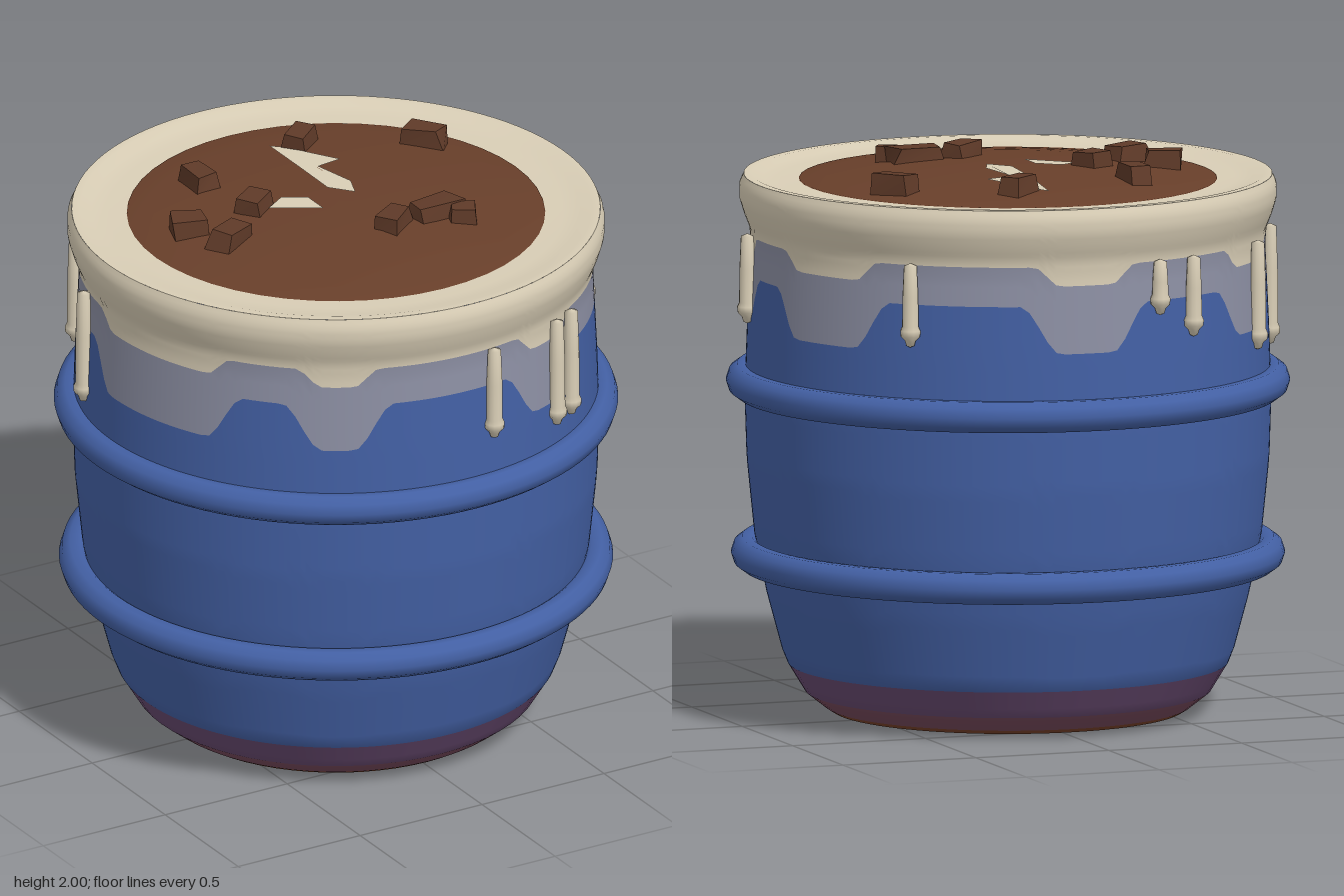
import * as THREE from 'three';

const mat = (name, color, extra = {}) => new THREE.MeshStandardMaterial({ name, color, ...extra });
const V2 = (x, y) => new THREE.Vector2(x, y);
const RAD = Math.PI / 180;

// barrel side profile: [y, radius]
const SIDE = [[0.02, 0.62], [0.035, 0.645], [0.09, 0.715], [0.21, 0.788], [0.44, 0.85], [0.65, 0.893],
  [0.92, 0.92], [1.15, 0.927], [1.4, 0.918], [1.68, 0.905], [1.74, 0.91], [1.79, 0.93], [1.84, 0.945],
  [1.89, 0.945], [1.925, 0.93]];
function radiusAt(y) {
  for (let i = 1; i < SIDE.length; i++) {
    const [y0, r0] = SIDE[i - 1], [y1, r1] = SIDE[i];
    if (y <= y1 || i === SIDE.length - 1) return r0 + (r1 - r0) * (y - y0) / (y1 - y0);
  }
}

// one painted band of the barrel side between two edge functions of the angle
function band(topEdge, bottomEdge, rows, cols = 180) {
  const pos = [], nor = [], idx = [];
  for (let i = 0; i <= rows; i++) {
    for (let j = 0; j <= cols; j++) {
      const a = j / cols * Math.PI * 2, s = Math.sin(a), c = Math.cos(a);
      const y = THREE.MathUtils.lerp(topEdge(a), bottomEdge(a), i / rows), r = radiusAt(y);
      const slope = (radiusAt(y + 0.02) - radiusAt(y - 0.02)) / 0.04;
      const n = new THREE.Vector3(s, -slope, c).normalize();
      pos.push(r * s, y, r * c);
      nor.push(n.x, n.y, n.z);
      if (i < rows && j < cols) {
        const p = i * (cols + 1) + j, q = p + cols + 1;
        idx.push(p, q, q + 1, p, q + 1, p + 1);
      }
    }
  }
  const g = new THREE.BufferGeometry();
  g.setAttribute('position', new THREE.Float32BufferAttribute(pos, 3));
  g.setAttribute('normal', new THREE.Float32BufferAttribute(nor, 3));
  g.setIndex(idx);
  return g;
}

// angular ranges (degrees) where the paint runs lower
const RUNS = [[-139, -121], [-92, -60], [-35, -26], [18, 29], [67, 78], [104, 124], [170, 184]];
function runny(high, low, soft) {
  return (a) => {
    let d = 0;
    for (const [from, to] of RUNS) {
      const mid = (from + to) / 2;
      const off = Math.abs(((a / RAD - mid + 540) % 360) - 180) - (to - from) / 2;
      d = Math.max(d, 1 - THREE.MathUtils.smoothstep(off, -1, soft));
    }
    return high + (low - high) * d;
  };
}

const domeY = (x, z) => 1.958 - 0.05 * (x * x + z * z) / 0.55;

function flatPatch(points) {
  const g = new THREE.ShapeGeometry(new THREE.Shape(points.map(([x, z]) => V2(x, -z))));
  g.rotateX(-Math.PI / 2);
  const p = g.attributes.position;
  for (let i = 0; i < p.count; i++) p.setY(i, domeY(p.getX(i), p.getZ(i)) + 0.005);
  return g;
}

// rough block: each box corner is pulled in by a seeded amount
function chunkGeometry(w, h, d, seed) {
  const g = new THREE.BoxGeometry(w, h, d), p = g.attributes.position;
  const rnd = (n) => { const v = Math.sin(n * 12.9898 + seed * 78.233) * 43758.5453; return v - Math.floor(v); };
  for (let i = 0; i < p.count; i++) {
    const x = p.getX(i), y = p.getY(i), z = p.getZ(i);
    const k = (x > 0 ? 1 : 0) + (y > 0 ? 2 : 0) + (z > 0 ? 4 : 0), top = y > 0 ? 0.85 : 1;
    p.setXYZ(i, x * top * (0.75 + 0.35 * rnd(k)), y * (0.8 + 0.2 * rnd(k + 9)), z * top * (0.75 + 0.35 * rnd(k + 20)));
  }
  g.computeVertexNormals();
  return g;
}

export function createModel() {
  const group = new THREE.Group();
  const blue = mat('blue', 0x4360a4), cream = mat('cream', 0xd9ceb6), wash = mat('greyWash', 0x8d90a4);
  const purple = mat('purple', 0x67496f), mauve = mat('mauve', 0x75485a), rust = mat('rust', 0x78422a);
  const soilMat = mat('soilBrown', 0x683f2a), chunkMat = mat('chunkBrown', 0x5f3a28), orange = mat('orange', 0xb0603c);
  const creamFlat = mat('creamPatch', 0xd9ceb6, { side: THREE.DoubleSide });
  const add = (name, geometry, material, parent = group) => {
    const m = new THREE.Mesh(geometry, material);
    m.name = name;
    parent.add(m);
    return m;
  };

  // barrel side, from rim to base
  const level = (y) => () => y;
  const creamEdge = runny(1.72, 1.65, 5), washEdge = runny(1.58, 1.41, 8);
  add('creamRim', band(level(1.925), creamEdge, 16), cream);
  add('paintRun', band(creamEdge, washEdge, 4), wash);
  add('barrelBody', band(washEdge, level(0.19), 24), blue);
  add('purpleBand', band(level(0.19), level(0.09), 3, 64), purple);
  add('mauveBand', band(level(0.09), level(0.035), 2, 64), mauve);
  add('rustBand', band(level(0.035), level(0.02), 1, 64), rust);
  add('base', new THREE.LatheGeometry([V2(0, 0.008), V2(0.44, 0.008), V2(0.62, 0.02)], 64), soilMat);

  // hoops
  for (const [y, r] of [[1.193, 0.936], [0.58, 0.918]]) {
    const hoop = add('hoop', new THREE.TorusGeometry(r, 0.057, 10, 96), blue);
    hoop.rotation.x = Math.PI / 2;
    hoop.position.y = y;
  }

  // top ledge and soil
  add('topLedge', new THREE.LatheGeometry(
    [V2(0.93, 1.925), V2(0.9, 1.925), V2(0.86, 1.914), V2(0.8, 1.908), V2(0.68, 1.905)], 96), cream);
  const soilProfile = [];
  for (let i = 0; i <= 8; i++) {
    const r = 0.735 * (1 - i / 8);
    soilProfile.push(V2(r, domeY(r, 0)));
  }
  soilProfile.unshift(V2(0.74, 1.9));
  add('soil', new THREE.LatheGeometry(soilProfile, 48), soilMat);
  add('barePatch', flatPatch([[0.05, -0.54], [0.09, -0.49], [0.19, -0.29], [0.09, -0.27], [0.12, -0.1],
    [0.085, -0.01], [0.02, -0.09], [0.03, -0.3]]), creamFlat);
  add('barePatch', flatPatch([[-0.16, -0.11], [-0.08, -0.06], [-0.08, 0.05], [-0.24, -0.06]]), creamFlat);

  // chunks on the soil: x, z, width, depth, turn
  const chunks = [[0.15, -0.5, 0.14, 0.09, 35], [-0.325, -0.4, 0.09, 0.16, 0], [0.54, -0.3, 0.15, 0.09, -50],
    [-0.55, -0.085, 0.14, 0.1, -20], [-0.28, -0.095, 0.13, 0.1, 35], [-0.47, 0.065, 0.17, 0.1, 25],
    [0.075, 0.265, 0.15, 0.1, 35], [0.25, 0.26, 0.2, 0.1, 5], [0.32, 0.335, 0.1, 0.08, -30]];
  chunks.forEach(([x, z, w, d, turn], i) => {
    const m = add('chunk', chunkGeometry(w * 1.08, 0.085, d * 1.08, i + 1), chunkMat);
    m.position.set(x, Math.max(domeY(x, z) + 0.012, 1.953), z);
    m.rotation.y = turn * RAD;
  });
  const fleck = add('orangeFleck', new THREE.BoxGeometry(0.04, 0.008, 0.05), orange);
  fleck.position.set(0.09, 1.99, 0.245);
  fleck.rotation.y = 0.5;

  // hanging drips: angle in degrees, lowest point
  const drips = [[6, 1.38], [26, 1.32], [32.2, 1.32], [78, 1.41], [137.5, 1.43], [194.5, 1.53], [204, 1.44],
    [230.5, 1.34], [256, 1.3]];
  for (const [deg, low] of drips) {
    const h = 1.73 - low;
    const drip = add('drip', new THREE.LatheGeometry([V2(0, 0), V2(0.014, 0.006), V2(0.02, 0.025), V2(0.035, 0.04),
      V2(0.036, 0.06), V2(0.029, 0.075), V2(0.028, h * 0.6), V2(0.023, h - 0.01), V2(0, h)], 12), cream);
    drip.position.set(0.928 * Math.sin(deg * RAD), low, 0.928 * Math.cos(deg * RAD));
  }
  return group;
}
